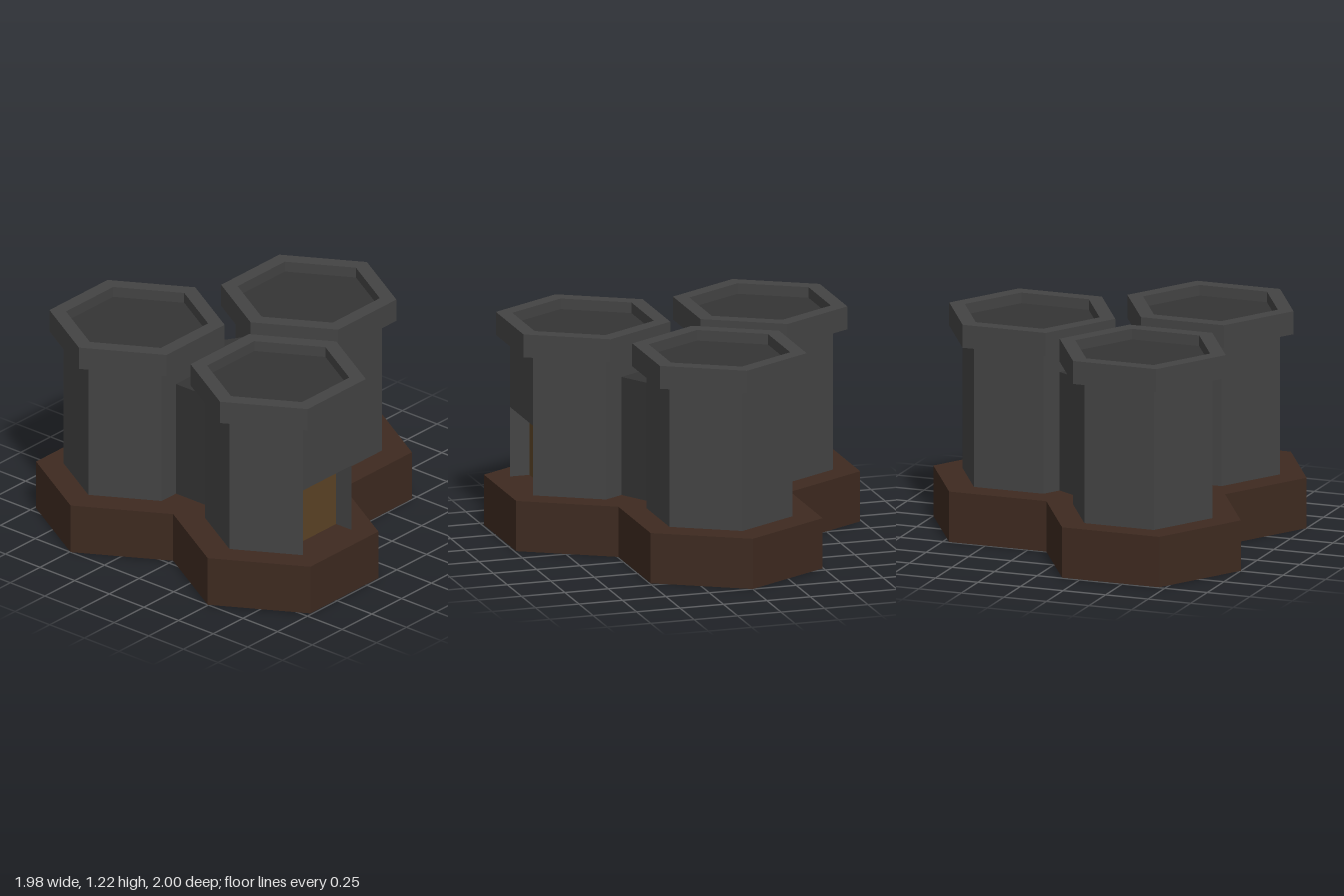
import * as THREE from 'three';

const mat = (color) => new THREE.MeshStandardMaterial({ color, flatShading: true });
const stone = mat(0x444444);
const darkStone = mat(0x353535);
const earth = mat(0x3e2a20);
const wood = mat(0x5c4426);

// Corners [x, z] of a hexagon with points along z
function hexagon(radius) {
  return Array.from({ length: 6 }, (_, i) => {
    const a = (i * Math.PI) / 3;
    return [radius * Math.sin(a), radius * Math.cos(a)];
  });
}

const toVectors = (points) => points.map(([x, z]) => new THREE.Vector2(x, -z));

// Upright prism over a ground plan of [x, z] corners, with an optional hole
function prism(name, plan, y0, y1, material, hole) {
  const shape = new THREE.Shape(toVectors(plan));
  if (hole) shape.holes.push(new THREE.Path(toVectors(hole)));
  const geometry = new THREE.ExtrudeGeometry(shape, { depth: y1 - y0, bevelEnabled: false });
  geometry.rotateX(-Math.PI / 2);
  const mesh = new THREE.Mesh(geometry, material);
  mesh.name = name;
  mesh.position.y = y0;
  return mesh;
}

const BASE_TOP = 0.285, DOOR_TOP = 0.68, BODY_TOP = 1.085, CAP_TOP = 1.215;
const BODY_R = 0.409, CAP_R = 0.488, RECESS_R = 0.396;

function createTower(name, x, z, hasDoor) {
  const tower = new THREE.Group();
  tower.name = name;
  const body = hexagon(BODY_R);
  if (hasDoor) {
    // Doorway cut across the whole +x face, with a wooden door at its back
    const side = BODY_R / 2, inner = BODY_R * Math.sqrt(0.75) - 0.115;
    const cut = [...body.slice(0, 2), [inner, side], [inner, -side], ...body.slice(2)];
    tower.add(prism('lowerBody', cut, BASE_TOP, DOOR_TOP, stone));
    tower.add(prism('upperBody', body, DOOR_TOP, BODY_TOP, stone));
    const height = DOOR_TOP - BASE_TOP;
    const door = new THREE.Mesh(new THREE.BoxGeometry(0.02, height, 2 * side), wood);
    door.name = 'door';
    door.position.set(inner - 0.007, BASE_TOP + height / 2, 0);
    tower.add(door);
  } else {
    tower.add(prism('body', body, BASE_TOP, BODY_TOP, stone));
  }
  // Overhanging rim around a sunken roof
  tower.add(prism('rim', hexagon(CAP_R), BODY_TOP, CAP_TOP, stone, hexagon(RECESS_R)));
  tower.add(prism('roof', hexagon(RECESS_R), BODY_TOP, CAP_TOP - 0.06, darkStone));
  tower.position.set(x, 0, z);
  return tower;
}

// Wall joining two towers
function createWall(name, [x1, z1], [x2, z2]) {
  const height = 0.955 - BASE_TOP;
  const wall = new THREE.Mesh(new THREE.BoxGeometry(0.45, height, 0.17), darkStone);
  wall.name = name;
  wall.position.set((x1 + x2) / 2, BASE_TOP + height / 2, (z1 + z2) / 2);
  wall.rotation.y = -Math.atan2(z2 - z1, x2 - x1);
  return wall;
}

export function createModel() {
  const model = new THREE.Group();
  model.name = 'hexTowers';

  // Base: outline of three hexagons meeting at one corner
  const half = [[0, -1], [0.495, -0.714], [0.495, -0.143], [0.99, 0.143], [0.99, 0.714], [0.495, 1], [0, 0.714]];
  const mirrored = half.slice(1, -1).reverse().map(([x, z]) => [-x, z]);
  model.add(prism('base', [...half, ...mirrored], 0, BASE_TOP, earth));

  const right = [-0.507, 0.428], left = [0.512, 0.428], back = [0.003, -0.42];
  model.add(createTower('rightTower', ...right, false));
  model.add(createTower('leftTower', ...left, true));
  model.add(createTower('backTower', ...back, false));

  model.add(createWall('frontWall', right, left));
  model.add(createWall('leftWall', left, back));
  model.add(createWall('rightWall', back, right));
  return model;
}
